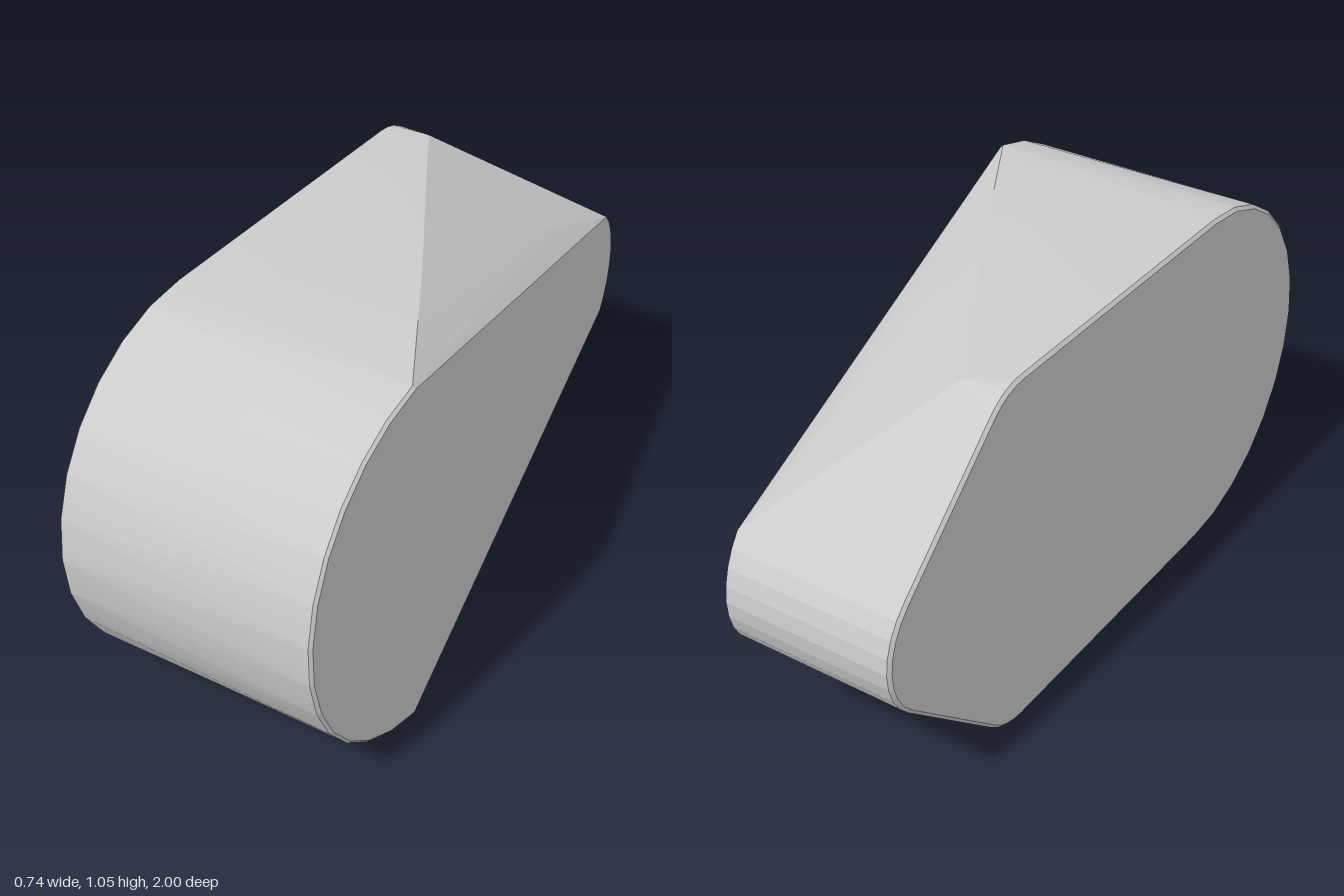
import * as THREE from 'three';
import { ConvexGeometry } from 'three/addons/geometries/ConvexGeometry.js';
import { toCreasedNormals } from 'three/addons/utils/BufferGeometryUtils.js';

const MID = 0.525; // height of the symmetry plane

// Points [z, y] on an arc; angle 0 points to +z, y measured from MID
function arc(cz, cy, r, from, to, steps) {
  return Array.from({ length: steps + 1 }, (_, i) => {
    const a = from + ((to - from) * i) / steps;
    return [cz + r * Math.cos(a), cy + r * Math.sin(a)];
  });
}

export function createModel() {
  const points = [];
  const add = (x, z, y) => points.push(new THREE.Vector3(x, MID + y, z));
  const addPair = (x, z, y) => { add(x, z, y); add(x, z, -y); };
  const slantX = (z) => 0.37 - 0.1645 * (0.55 - z);
  const noseTurn = 0.845; // half angle of the nose arc
  const nose = arc(-0.78, 0, 0.22, Math.PI - noseTurn, Math.PI + noseTurn, 8);

  // Full outline on the flat side, with a narrow bevel
  for (const [x, inset] of [[-0.37, 0.01], [-0.362, 0]]) {
    for (const [z, y] of arc(0.475, 0, MID - inset, -Math.PI / 2, Math.PI / 2, 14)) add(x, z, y);
    for (const [z, y] of arc(-0.454, 0.34, 0.185 - inset, Math.PI / 2, Math.PI / 2 + 0.726, 4)) addPair(x, z, y);
    for (const [z, y] of arc(-0.78, 0, 0.22 - inset, Math.PI - noseTurn, Math.PI + noseTurn, 8)) add(x, z, y);
  }

  // Rounded front end on the tall side, with matching bevel
  const end = Math.acos(0.075 / MID);
  for (const [x, inset] of [[0.37, 0.008], [0.362, 0]]) {
    for (const [z, y] of arc(0.475, 0, MID - inset, -end, end, 13)) add(x, z, y);
  }

  // Nose runs out to the slanted face
  for (const [z, y] of nose) add(slantX(z), z, y);

  // Corners of the cut-off faces above and below the slanted face
  addPair(-0.25, -0.525, 0.511);
  addPair(0.13, 0.13, 0.525);
  addPair(0.12, -0.57, 0.3);

  const geometry = toCreasedNormals(new ConvexGeometry(points), 0.15);
  const body = new THREE.Mesh(geometry, new THREE.MeshStandardMaterial({ color: 0xcccccc }));
  body.name = 'wedgeBody';

  const group = new THREE.Group();
  group.name = 'roundedWedge';
  group.add(body);
  return group;
}
